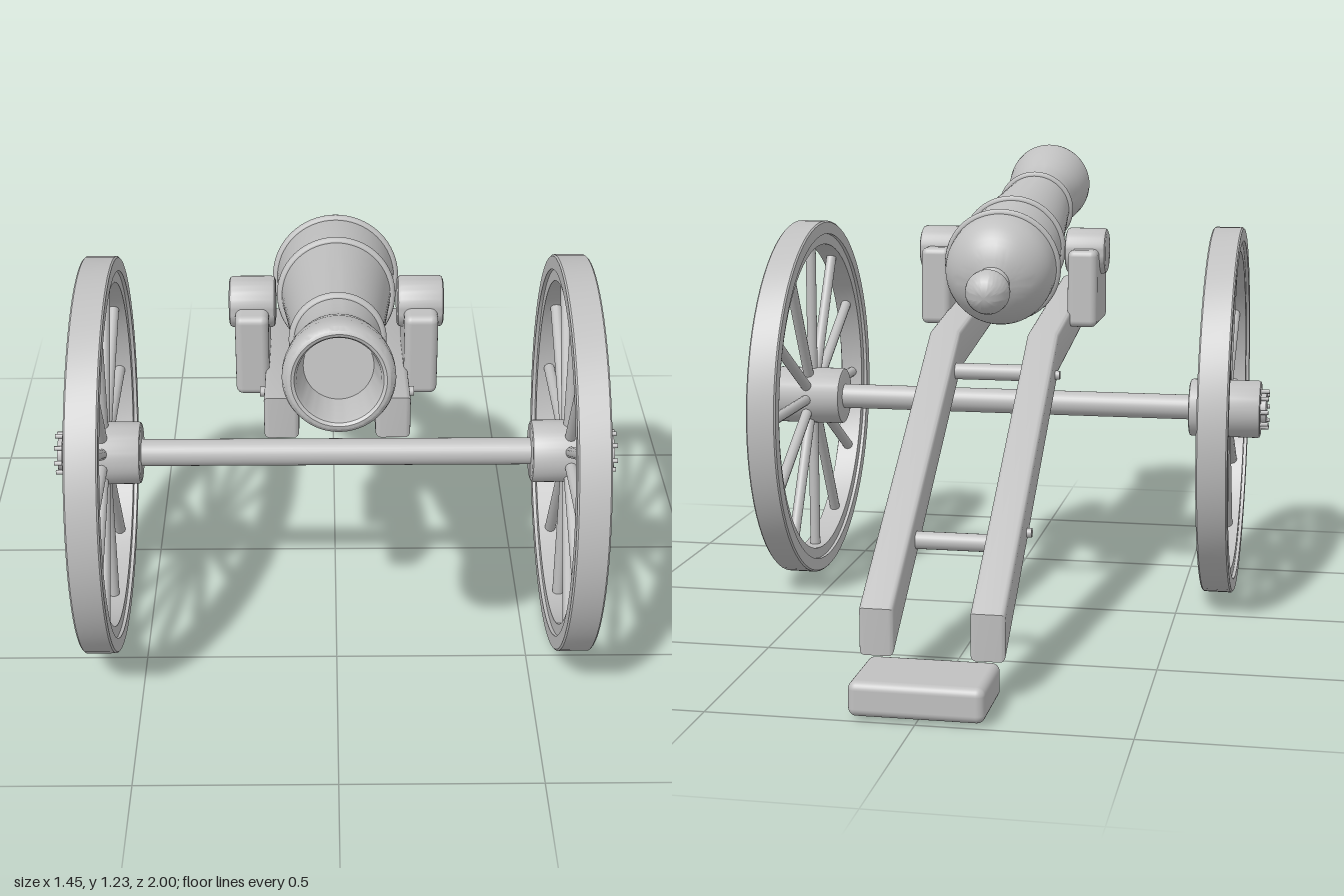
import * as THREE from 'three';
import { toCreasedNormals } from 'three/addons/utils/BufferGeometryUtils.js';
import { RoundedBoxGeometry } from 'three/addons/geometries/RoundedBoxGeometry.js';

const AXLE_Y = 0.514, AXLE_Z = 0.307;

export function createModel() {
  const model = new THREE.Group();
  model.name = 'fieldCannon';
  const gray = new THREE.MeshStandardMaterial({ color: 0xc0c0c0 });
  gray.name = 'plainGray';

  const add = (parent, name, geometry, x = 0, y = 0, z = 0) => {
    const mesh = new THREE.Mesh(geometry, gray);
    mesh.name = name;
    mesh.position.set(x, y, z);
    parent.add(mesh);
    return mesh;
  };
  const lathe = (points, segments = 48) => toCreasedNormals(
    new THREE.LatheGeometry(points.map(([r, h]) => new THREE.Vector2(r, h)), segments), 0.6);
  // cylinder lying along x, plain or with rounded edges
  const rod = (r, length, segments = 24) =>
    new THREE.CylinderGeometry(r, r, length, segments).rotateZ(-Math.PI / 2);
  const roundedRod = (r, length, b) => {
    const h = length / 2;
    return lathe([[0, -h], [r - b, -h], [r - b * 0.3, -h + b * 0.3], [r, -h + b],
      [r, h - b], [r - b * 0.3, h - b * 0.3], [r - b, h], [0, h]]).rotateZ(-Math.PI / 2);
  };

  // Barrel: knob, neck, domed breech, tapering tube, flared muzzle and bore
  const barrel = new THREE.Group();
  barrel.name = 'barrel';
  barrel.position.set(0, 0.884, -0.112);
  barrel.rotation.x = THREE.MathUtils.degToRad(78.3);
  model.add(barrel);
  const profile = [];
  for (let i = 0; i <= 9; i++) {
    const a = (i / 9) * 2.3;
    profile.push([0.06 * Math.sin(a), -0.058 * Math.cos(a)]);
  }
  profile.push([0.041, 0.055]);
  for (let i = 0; i <= 9; i++) {
    const a = 0.32 + (i / 9) * (Math.PI / 2 - 0.32);
    profile.push([0.15 * Math.sin(a), 0.185 - 0.125 * Math.cos(a)]);
  }
  profile.push([0.151, 0.227], [0.136, 0.41], [0.101, 0.8], [0.097, 0.9], [0.1, 0.93],
    [0.11, 0.97], [0.119, 1.015], [0.124, 1.06], [0.124, 1.085], [0.12, 1.1], [0.112, 1.109],
    [0.104, 1.111], [0.097, 1.107], [0.092, 1.095], [0.078, 1.0], [0, 1.0]);
  add(barrel, 'barrelTube', lathe(profile, 64));
  for (const [s, r] of [[0.227, 0.151], [0.41, 0.137], [0.8, 0.102]]) {
    add(barrel, 'barrelRing', new THREE.TorusGeometry(r, 0.011, 10, 64).rotateX(Math.PI / 2), 0, s, 0);
  }

  // Trail rail outline, in z and y, grown by the bevel
  const railShape = new THREE.Shape([
    [-0.02, 0.754], [-0.811, 0.209], [-0.811, 0.115], [-0.02, 0.668], [0.593, 0.752], [0.593, 0.838],
  ].map(([z, y]) => new THREE.Vector2(z, y)));
  const railGeometry = toCreasedNormals(new THREE.ExtrudeGeometry(railShape, {
    depth: 0.06, bevelEnabled: true, bevelSize: 0.012, bevelThickness: 0.012, bevelSegments: 4,
  }).translate(0, 0, -0.03).rotateY(-Math.PI / 2), 0.6);
  const bolts = [[0.5, 0.81], [-0.07, 0.66], [-0.515, 0.338]];

  for (const side of [-1, 1]) {
    add(model, 'trailRail', railGeometry, side * 0.134, 0, 0);
    add(model, 'trunnionBlock', new RoundedBoxGeometry(0.083, 0.215, 0.23, 3, 0.018),
      side * 0.208, 0.86, 0.305);
    add(model, 'trunnion', roundedRod(0.064, 0.115, 0.01), side * 0.208, 0.957, 0.305);
    for (const [z, y] of bolts) add(model, 'railBolt', rod(0.012, 0.03, 12), side * 0.173, y, z);
  }

  // Cross rods between the rails, and the ground foot
  for (const [z, y] of [[0.5, 0.79], [-0.08, 0.665], [-0.566, 0.32]]) {
    add(model, 'crossRod', rod(0.022, 0.2), 0, y, z);
  }
  add(model, 'trailFoot', new RoundedBoxGeometry(0.32, 0.084, 0.216, 4, 0.02), 0, 0.05, -0.892);

  // Axle and wheels
  add(model, 'axle', rod(0.035, 1.1, 32), 0, AXLE_Y + 0.003, AXLE_Z);

  const rim = lathe([[0.476, -0.041], [0.51, -0.041], [0.514, -0.037], [0.514, 0.037],
    [0.51, 0.041], [0.476, 0.041], [0.476, 0.032], [0.446, 0.032], [0.446, -0.032],
    [0.476, -0.032], [0.476, -0.041]], 72).rotateZ(-Math.PI / 2);
  const hub = roundedRod(0.081, 0.2, 0.008);
  const spoke = new THREE.CylinderGeometry(0.015, 0.015, 0.4, 12).translate(0, 0.26, 0);

  for (const side of [-1, 1]) {
    const wheel = new THREE.Group();
    wheel.name = side > 0 ? 'leftWheel' : 'rightWheel';
    wheel.position.set(side * 0.603, AXLE_Y, AXLE_Z);
    model.add(wheel);
    add(wheel, 'rim', rim);
    add(wheel, 'hub', hub, side * 0.002, 0.003, 0);
    add(wheel, 'hubCap', rod(0.045, 0.02, 32), side * 0.107, 0.003, 0);
    for (let i = 0; i < 12; i++) {
      add(wheel, 'spoke', spoke).rotation.x = (i * Math.PI) / 6;
    }
    for (let i = 0; i < 8; i++) {
      const a = (i * Math.PI) / 4;
      add(wheel, 'hubBolt', rod(0.006, 0.03, 8),
        side * 0.109, 0.003 + 0.051 * Math.sin(a), 0.051 * Math.cos(a));
    }
  }
  return model;
}
